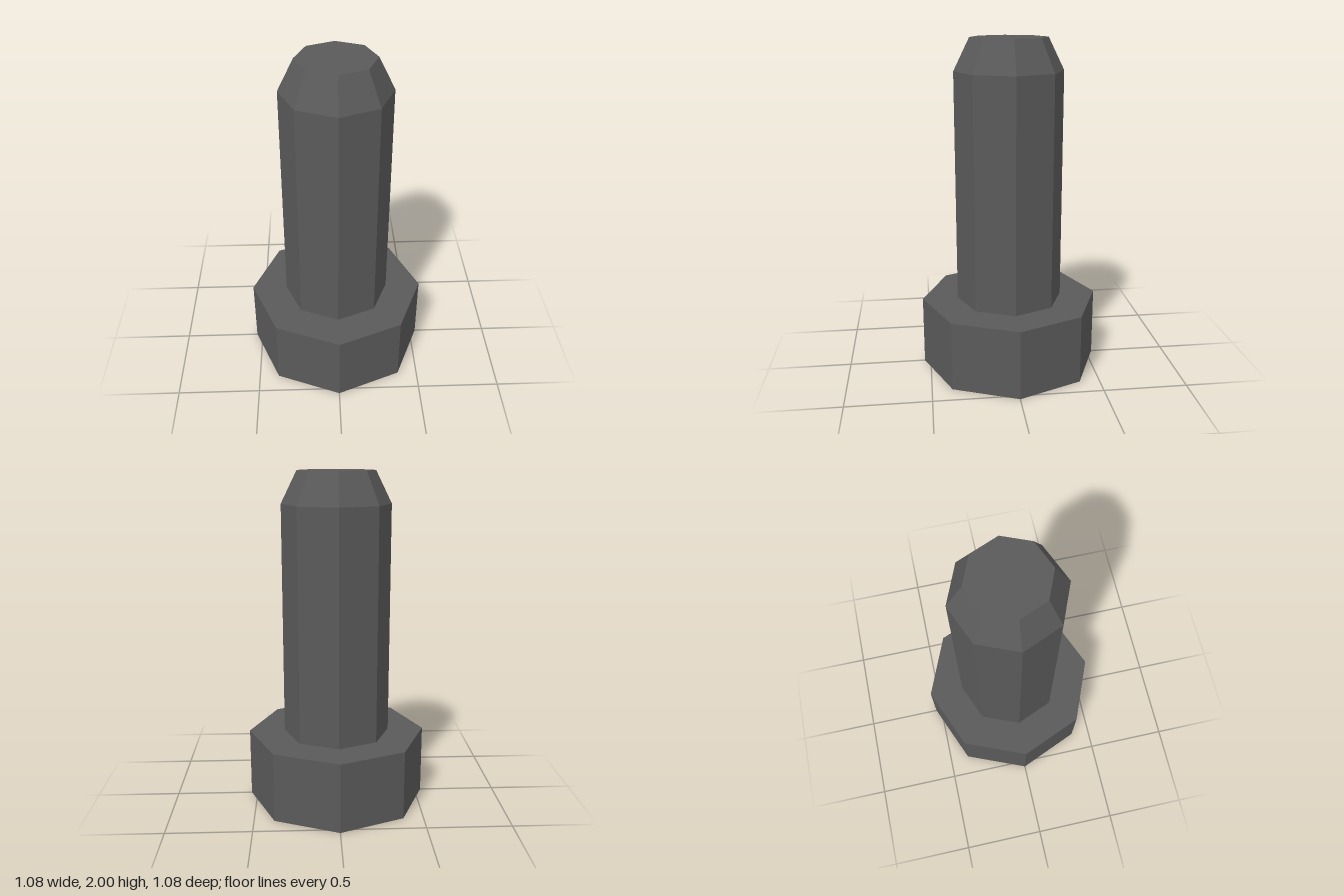
import * as THREE from 'three';

const SIDES = 8;

export function createModel() {
  const bolt = new THREE.Group();
  bolt.name = 'bolt';

  const darkSteel = new THREE.MeshStandardMaterial({ color: 0x5a5a5a, flatShading: true });
  darkSteel.name = 'dark steel';

  // Eight-sided section standing between two heights, with a corner facing +z
  function addSection(name, bottomRadius, topRadius, y0, y1, open = false) {
    const geometry = new THREE.CylinderGeometry(topRadius, bottomRadius, y1 - y0, SIDES, 1, open);
    const mesh = new THREE.Mesh(geometry, darkSteel);
    mesh.name = name;
    mesh.position.y = (y0 + y1) / 2;
    bolt.add(mesh);
  }

  addSection('head', 0.538, 0.538, 0, 0.42);
  addSection('shank', 0.322, 0.322, 0.42, 1.81, true);

  // Tapered end: its lower cap is hidden inside the shank
  addSection('chamferedTip', 0.322, 0.228, 1.81, 2);

  return bolt;
}
